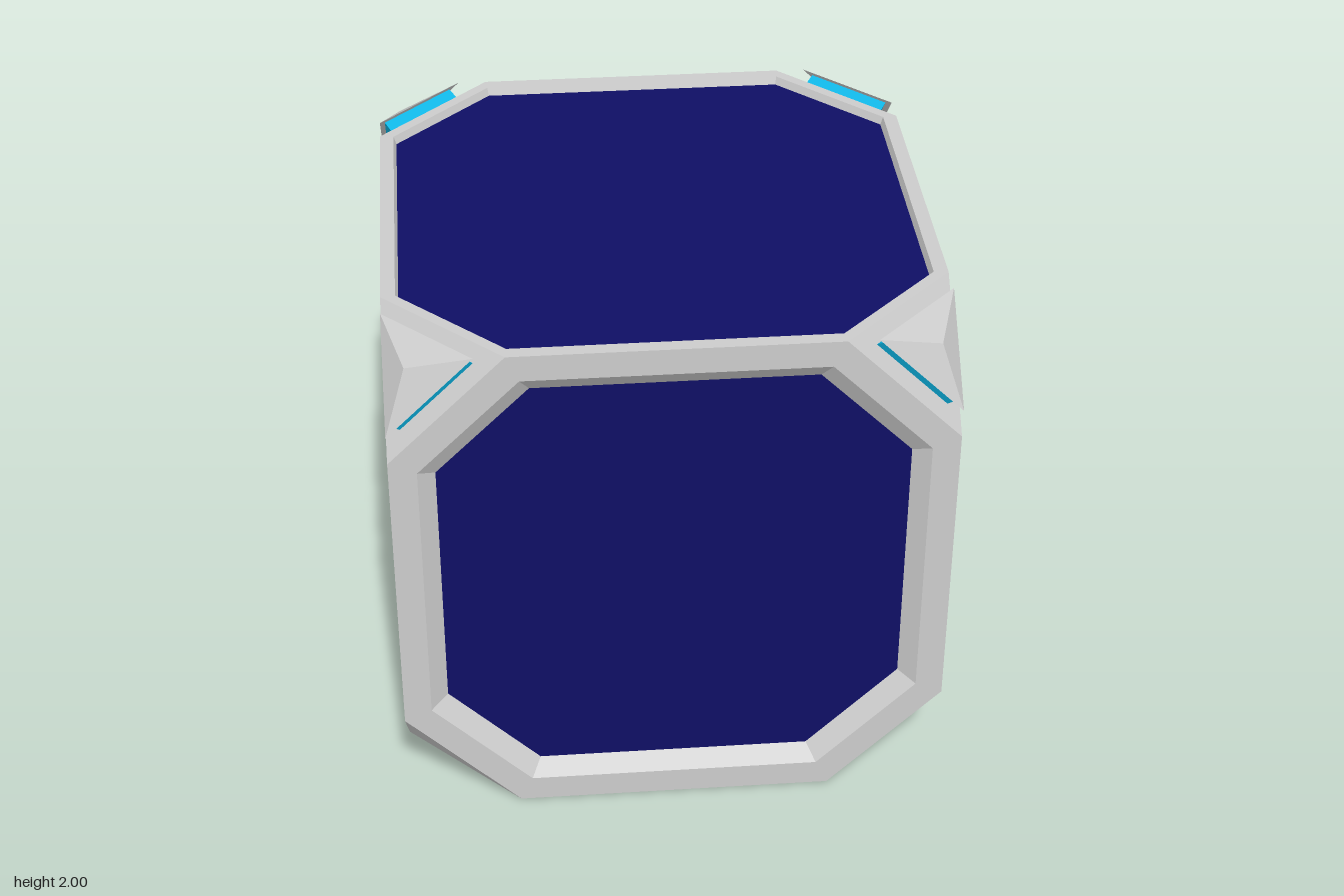
import * as THREE from 'three';

const grey = new THREE.MeshStandardMaterial({ color: 0xcccccc, flatShading: true });
const navy = new THREE.MeshStandardMaterial({ color: 0x0f0f64, flatShading: true });
const cyan = new THREE.MeshStandardMaterial({ color: 0x0cb8e8, flatShading: true });

// Joins successive loops of equal length with flat faces; a loop may collapse to a point
function loft(loops) {
  const pos = [];
  const tri = (a, b, c) => {
    if (a.equals(b) || b.equals(c) || a.equals(c)) return;
    for (const p of [a, b, c]) pos.push(p.x, p.y, p.z);
  };
  for (let k = 0; k + 1 < loops.length; k++) {
    const L = loops[k], M = loops[k + 1], n = L.length;
    for (let i = 0; i < n; i++) {
      const j = (i + 1) % n;
      tri(L[i], L[j], M[j]);
      tri(L[i], M[j], M[i]);
    }
  }
  const g = new THREE.BufferGeometry();
  g.setAttribute('position', new THREE.Float32BufferAttribute(pos, 3));
  g.computeVertexNormals();
  return g;
}

const V = (x, y, z) => new THREE.Vector3(x, y, z);
const point = (n, p) => Array.from({ length: n }, () => p.clone());

// Octagon facing +z: half width a, half length of the straight edges b
const octagon = (a, b, z) =>
  [[a, b], [b, a], [-b, a], [-a, b], [-a, -b], [-b, -a], [b, -a], [a, -b]].map(([x, y]) => V(x, y, z));

// Triangle square to the (1,1,1) diagonal
const triangle = (s, t) => [V(t, s, s), V(s, t, s), V(s, s, t)];

function part(name, geometry, material) {
  const m = new THREE.Mesh(geometry, material);
  m.name = name;
  return m;
}

// One cube face: rim, bevelled recess and dark panel
function makeFace(name, lip, inset) {
  const g = new THREE.Group();
  g.name = name;
  g.add(part('frame', loft([octagon(1, 0.582, 1), lip, inset]), grey));
  g.add(part('panel', loft([inset, point(8, V(0, 0, inset[0].z))]), navy));
  return g;
}

// One cut corner, with a raised stud on the upper ones
function makeCorner(name, hasStud) {
  const g = new THREE.Group();
  g.name = name;
  g.add(part('cornerPlate', loft([triangle(1, 0.582), point(3, V(0.8607, 0.8607, 0.8607))]), grey));
  if (hasStud) {
    g.add(part('glowBand', loft([triangle(0.95, 0.69), triangle(0.982, 0.726)]), cyan));
    const cap = triangle(1, 0.69);
    g.add(part('pyramidCap', loft([
      point(3, V(0.8967, 0.8967, 0.8967)), cap, point(3, V(0.925, 0.925, 0.925)),
    ]), grey));
  }
  return g;
}

export function createModel() {
  const model = new THREE.Group();
  model.name = 'truncatedCube';
  const body = new THREE.Group();
  body.name = 'body';
  body.position.y = 1;
  model.add(body);

  // Four sides and the underside share the deep bevel
  const deep = [octagon(0.9, 0.537, 1), octagon(0.837, 0.503, 0.95)];
  ['frontFace', 'leftFace', 'backFace', 'rightFace'].forEach((name, i) => {
    const f = makeFace(name, ...deep);
    f.rotation.y = i * Math.PI / 2;
    body.add(f);
  });
  const bottom = makeFace('bottomFace', ...deep);
  bottom.rotation.x = Math.PI / 2;
  body.add(bottom);

  // The top has a thin rim and a wider panel
  const top = makeFace('topFace', octagon(0.948, 0.576, 1), octagon(0.938, 0.571, 0.97));
  top.rotation.x = -Math.PI / 2;
  body.add(top);

  // Eight corners
  for (let i = 0; i < 4; i++) {
    const upper = makeCorner('upperCorner' + (i + 1), true);
    upper.rotation.y = i * Math.PI / 2;
    const lower = makeCorner('lowerCorner' + (i + 1), false);
    lower.rotation.order = 'YXZ';
    lower.rotation.set(Math.PI, i * Math.PI / 2, 0);
    body.add(upper, lower);
  }
  return model;
}
